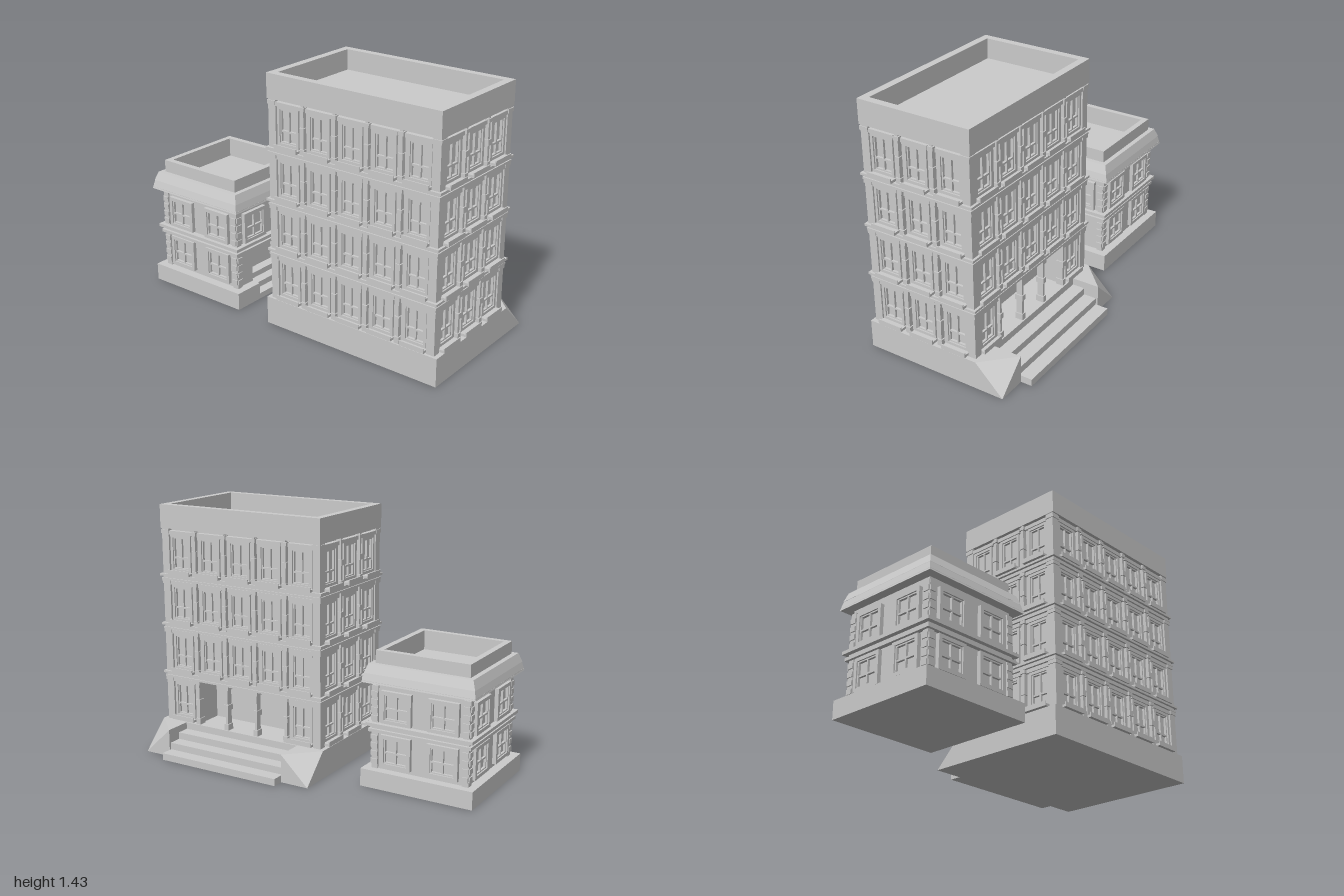
import * as THREE from 'three';
import { ConvexGeometry } from 'three/addons/geometries/ConvexGeometry.js';

const mat = new THREE.MeshStandardMaterial({ color: 0xcccccc, flatShading: true });

function add(parent, name, geo) {
  const m = new THREE.Mesh(geo, mat);
  m.name = name;
  parent.add(m);
  return m;
}

// Box given by its limits on each axis
function box(parent, name, x0, x1, y0, y1, z0, z1) {
  const m = add(parent, name, new THREE.BoxGeometry(x1 - x0, y1 - y0, z1 - z0));
  m.position.set((x0 + x1) / 2, (y0 + y1) / 2, (z0 + z1) / 2);
  return m;
}

function group(parent, name, x = 0, z = 0, angle = 0) {
  const g = new THREE.Group();
  g.name = name;
  g.position.set(x, 0, z);
  g.rotation.y = angle;
  parent.add(g);
  return g;
}

// Rectangular frame, centred on the origin, extruded along +z
function frameGeometry(hw, hh, border, depth) {
  const rect = (P, a, b) => new P([[-a, -b], [a, -b], [a, b], [-a, b]].map(p => new THREE.Vector2(...p)));
  const s = rect(THREE.Shape, hw, hh);
  s.holes.push(rect(THREE.Path, hw - border, hh - border));
  return new THREE.ExtrudeGeometry(s, { depth, bevelEnabled: false });
}

// Window with a frame and a cross bar splitting it into four panes
function addWindow(parent, x, y0, y1, w, cross) {
  const g = group(parent, 'window', x, 0);
  const h = y1 - y0, b = w * 0.11;
  const f = add(g, 'windowFrame', frameGeometry(w / 2, h / 2, b, 0.022));
  f.position.y = (y0 + y1) / 2;
  const s = add(g, 'windowSash', frameGeometry(w / 2 - b, h / 2 - b, 0.007, 0.014));
  s.position.y = f.position.y;
  box(g, 'mullion', -0.004, 0.004, y0 + b, y1 - b, 0, 0.013);
  const yc = y0 + h * cross;
  box(g, 'transom', -w / 2 + b, w / 2 - b, yc - 0.005, yc + 0.005, 0, 0.013);
}

// Flat roof with a parapet
function addRoof(parent, hx, hz, wall, y0, y1, floorY) {
  box(parent, 'roofSlab', -hx, hx, y0, floorY, -hz, hz);
  const h = y1 - floorY;
  for (const s of [-1, 1]) {
    box(parent, 'parapet', -hx, hx, floorY, floorY + h, s * (hz - wall / 2) - wall / 2, s * (hz - wall / 2) + wall / 2);
    box(parent, 'parapet', s * (hx - wall / 2) - wall / 2, s * (hx - wall / 2) + wall / 2, floorY, floorY + h, -hz + wall, hz - wall);
  }
}

// Four facade groups facing outwards: front, left, back, right
function facades(parent, hx, hz) {
  return [0, 1, 2, 3].map(i => {
    const a = i * Math.PI / 2, d = i % 2 ? hx : hz;
    return group(parent, ['front', 'left', 'back', 'right'][i] + 'Facade', Math.sin(a) * d, Math.cos(a) * d, a);
  });
}

function buildTower(root) {
  const g = group(root, 'tower', 0.432, 0.105);
  const hx = 0.5, hz = 0.3, baseY = 0.16, step = 0.29, bay = 0.202, porch = 1.5 * bay;
  box(g, 'base', -0.553, 0.553, 0, baseY, -0.342, 0.342);
  // Walls, with a porch cut into the back of the ground floor
  box(g, 'upperWalls', -hx, hx, 0.425, 1.31, -hz, hz);
  box(g, 'groundWalls', -hx, hx, baseY, 0.425, -hz + 0.15, hz);
  for (const s of [-1, 1]) {
    const c = s * (hx + porch) / 2, w = (hx - porch) / 2;
    box(g, 'porchSide', c - w, c + w, baseY, 0.425, -hz, -hz + 0.15);
  }
  addRoof(g, 0.532, 0.335, 0.043, 1.3, 1.435, 1.32);

  // Window bays, sills and pilasters
  facades(g, hx, hz).forEach((f, i) => {
    const n = i % 2 ? 3 : 5, pitch = i % 2 ? 0.207 : bay, half = i % 2 ? hz : hx;
    const reach = i % 2 ? 0.06 : 0.05;
    for (let k = 0; k < 4; k++) {
      const y = baseY + k * step;
      for (let j = 0; j < n; j++) {
        const x = (j - (n - 1) / 2) * pitch;
        if (i === 2 && k === 0 && j > 0 && j < 4) continue;
        addWindow(f, x, y + 0.023, y + 0.235, 0.14, 0.37);
        box(f, 'windowHeader', x - 0.08, x + 0.08, y + 0.235, y + 0.257, 0, 0.028);
        box(f, 'sill', x - 0.075, x + 0.075, y + 0.007, y + 0.021, 0, reach);
        box(f, 'sillLip', x - 0.075, x + 0.075, y + 0.021, y + 0.034, reach - 0.006, reach);
        for (const s of [-1, 1])
          box(f, 'jamb', x + s * 0.079 - 0.007, x + s * 0.079 + 0.007, y, y + 0.257, 0, 0.014);
      }
      for (let j = 1; j < n; j++) {
        const x = (j - n / 2) * pitch;
        box(f, 'pilaster', x - 0.008, x + 0.008, y, y + 0.27, -0.008, 0.028);
        for (const [c, h, w] of [[0.018, 0.018, 0.014], [0.135, 0.016, 0.014], [0.25, 0.01, 0.016]])
          box(f, 'pilasterBlock', x - w, x + w, y + c - h, y + c + h, -0.012, 0.034);
      }
      for (const s of [-1, 1]) {
        const x = s * (half + 0.006);
        box(f, 'cornerPilaster', x - 0.022, x + 0.022, y, y + 0.27, -0.02, 0.028);
        box(f, 'cornerCapital', x - 0.026, x + 0.026, y + 0.24, y + 0.262, -0.02, 0.033);
      }
    }
  });
  // String courses between floors
  for (let k = 1; k < 4; k++) {
    const y = baseY + k * step - 0.01;
    for (const [o, a, b] of [[0.035, -0.02, -0.008], [0.028, -0.008, 0.004], [0.042, 0.004, 0.017]])
      box(g, 'stringCourse', -hx - o, hx + o, y + a, y + b, -hz - o, hz + o);
  }
  // Entrance steps and their faceted cheeks
  for (let k = 0; k < 3; k++)
    box(g, 'entranceStep', -0.385, 0.385, k * 0.04, (k + 1) * 0.04, -0.57 + k * 0.077, -0.34);
  for (const s of [-1, 1]) {
    const p = [[0.385, 0.16, -0.342], [0.385, 0.16, -0.505], [0.553, 0.16, -0.342], [0.553, 0, -0.505],
      [0.385, 0, -0.505], [0.553, 0, -0.342], [0.385, 0, -0.342]];
    add(g, 'stairCheek', new ConvexGeometry(p.map(([x, y, z]) => new THREE.Vector3(s * x, y, z))));
  }
}

function buildAnnex(root) {
  const g = group(root, 'annex', -0.672, 0.112);
  const h = 0.275, b = 0.328, door = 0.15;
  // Base and ground floor, notched on the left side for the doorway
  box(g, 'base', -b, 0.21, 0, 0.1, -b, b);
  box(g, 'groundWalls', -h, 0.15, 0.1, 0.31, -h, h);
  for (const s of [-1, 1]) {
    const span = (e) => [Math.min(s * door, s * e), Math.max(s * door, s * e)];
    box(g, 'baseSide', 0.21, b, 0, 0.1, ...span(b));
    box(g, 'doorSide', 0.15, h, 0.1, 0.31, ...span(h));
  }
  box(g, 'doorStep', 0.21, b, 0, 0.033, -door, door);
  box(g, 'doorStep', 0.21, 0.27, 0.033, 0.067, -door, door);
  box(g, 'upperWalls', -h, h, 0.31, 0.6, -h, h);

  // Windows and corner pilasters
  facades(g, h, h).forEach((f, i) => {
    for (let k = 0; k < 2; k++) {
      const y = 0.12 + k * 0.245;
      for (const s of [-1, 1]) {
        if (!(i === 1 && k === 0)) addWindow(f, s * 0.137, y, y + 0.18, 0.178, 0.45);
        box(f, 'cornerPilaster', s * 0.265 - 0.018, s * 0.265 + 0.018, y - 0.02, y + 0.2, -0.01, 0.01);
        for (let n = 0; n < 4; n++) {
          const c = y + 0.02 + n * 0.045;
          box(f, 'cornerBlock', s * 0.265 - 0.018, s * 0.265 + 0.018, c - 0.014, c + 0.014, 0, 0.016);
        }
      }
    }
  });
  // Belt course
  for (const [o, y0, y1] of [[0.3, 0.308, 0.325], [0.285, 0.325, 0.342], [0.31, 0.342, 0.36]])
    box(g, 'beltCourse', -o, o, y0, y1, -o, o);

  // Sloped eaves in two tiers, then the parapet
  for (const [r0, r1, y0, y1] of [[0.328, 0.316, 0.585, 0.635], [0.318, 0.3, 0.635, 0.685]]) {
    const geo = new THREE.CylinderGeometry(r1 * Math.SQRT2, r0 * Math.SQRT2, y1 - y0, 4).rotateY(Math.PI / 4);
    // Leave the middle to the roof well
    const e = add(g, 'eaves', new THREE.CylinderGeometry(r1 * Math.SQRT2, r0 * Math.SQRT2, y1 - y0, 4, 1, true).rotateY(Math.PI / 4));
    e.position.y = (y0 + y1) / 2;
    geo.dispose();
  }
  const soffit = add(g, 'eavesSoffit', frameGeometry(0.326, 0.326, 0.07, 0.01).rotateX(-Math.PI / 2));
  soffit.position.y = 0.585;
  const top = add(g, 'eavesTop', frameGeometry(0.3, 0.3, 0.05, 0.01).rotateX(-Math.PI / 2));
  top.position.y = 0.675;
  addRoof(g, 0.272, 0.272, 0.034, 0.59, 0.755, 0.645);
}

export function createModel() {
  const root = new THREE.Group();
  root.name = 'twoBuildings';
  buildTower(root);
  buildAnnex(root);
  return root;
}
